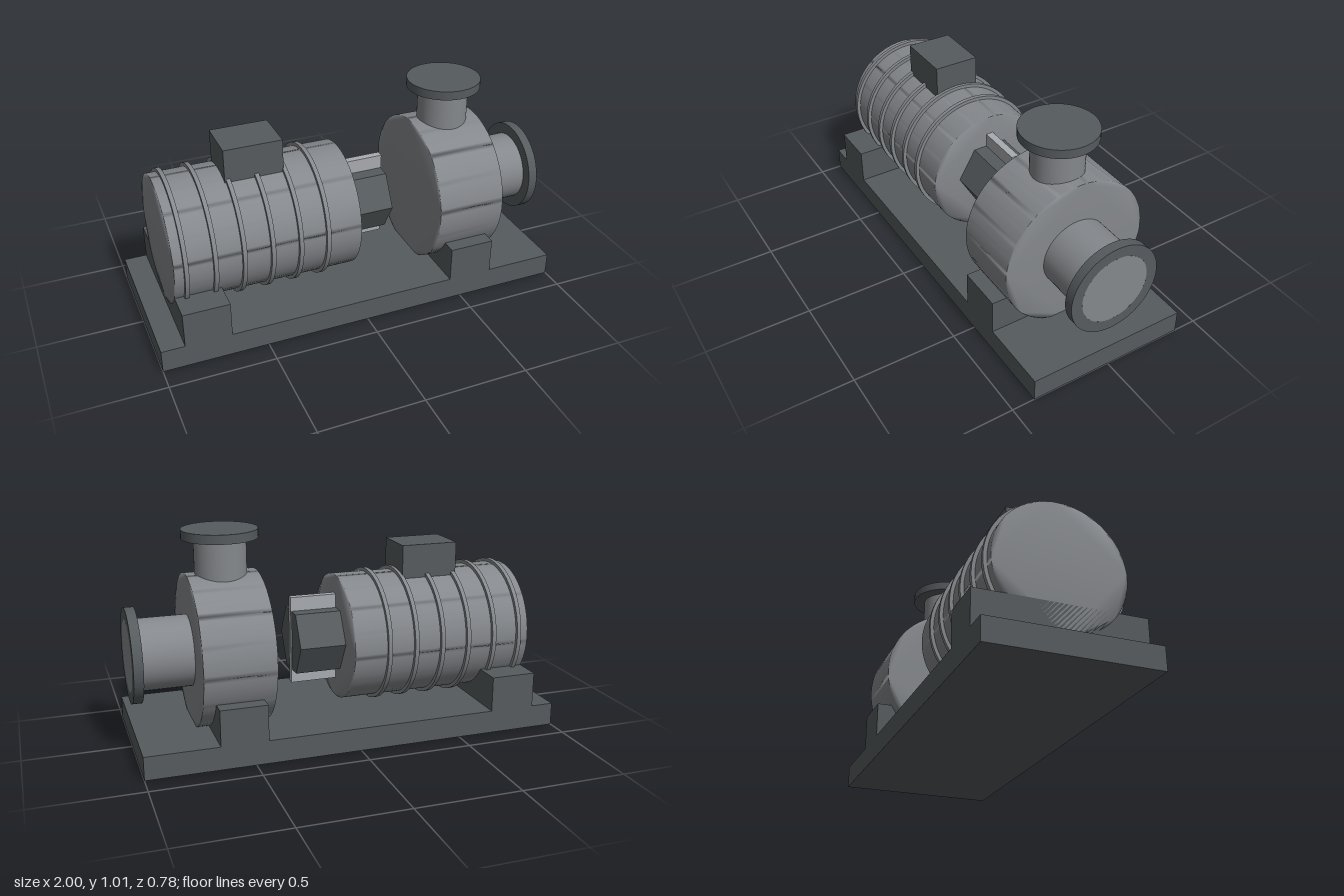
import * as THREE from 'three';
import { mergeVertices } from 'three/addons/utils/BufferGeometryUtils.js';

const dark = new THREE.MeshStandardMaterial({ color: 0x565b5e });
const mid = new THREE.MeshStandardMaterial({ color: 0x85888c });
const light = new THREE.MeshStandardMaterial({ color: 0xa8abb0 });

const AXIS = 0.447; // shaft height
const DISCHARGE_X = 0.553;

export function createModel() {
  const model = new THREE.Group();
  model.name = 'pumpSet';

  const add = (name, geometry, material) => {
    const mesh = new THREE.Mesh(geometry, material);
    mesh.name = name;
    model.add(mesh);
    return mesh;
  };

  // Box given by its limits on each axis
  const box = (name, x0, x1, y0, y1, halfZ, material = dark) =>
    add(name, new THREE.BoxGeometry(x1 - x0, y1 - y0, 2 * halfZ), material)
      .position.set((x0 + x1) / 2, (y0 + y1) / 2, 0);

  // Cylinder along the shaft
  const shaftCylinder = (name, x0, x1, r, material, sides = 48) => {
    const g = new THREE.CylinderGeometry(r, r, x1 - x0, sides).rotateZ(-Math.PI / 2);
    g.translate((x0 + x1) / 2, AXIS, 0);
    return add(name, g, material);
  };

  // Casing along the shaft with normals blended over its rims
  const casing = (name, x0, x1, r) => {
    const shape = new THREE.Shape().absarc(0, 0, r, 0, Math.PI * 2);
    let g = new THREE.ExtrudeGeometry(shape, { depth: x1 - x0, bevelEnabled: false, curveSegments: 64 });
    g.deleteAttribute('uv');
    g.deleteAttribute('normal');
    g = mergeVertices(g, 1e-4);
    g.computeVertexNormals();
    g.rotateY(Math.PI / 2).translate(x0, AXIS, 0);
    return add(name, g, mid);
  };

  // Upright cylinder on the discharge axis
  const upright = (name, y0, y1, r, material) =>
    add(name, new THREE.CylinderGeometry(r, r, y1 - y0, 48), material)
      .position.set(DISCHARGE_X, (y0 + y1) / 2, 0);

  // Base plate and supports
  box('basePlate', -1, 1, 0, 0.11, 0.39);
  box('motorSupport', -0.89, -0.67, 0.11, 0.28, 0.39);
  box('pumpSupport', 0.44, 0.66, 0.11, 0.28, 0.39);

  // Motor with cooling ribs and terminal box
  casing('motorBody', -0.89, 0, 0.305);
  for (let i = 0; i < 6; i++) {
    const x = -0.837 + i * 0.1338;
    shaftCylinder('motorRib', x - 0.01, x + 0.01, 0.322, mid, 64);
  }
  box('terminalBox', -0.585, -0.307, 0.73, 0.893, 0.11);

  // Hexagonal coupling with a flat key through it
  const hub = shaftCylinder('couplingHub', 0, 0.222, 0.168, dark, 6);
  hub.geometry = hub.geometry.toNonIndexed();
  hub.geometry.computeVertexNormals();
  box('couplingKey', 0, 0.226, 0.235, 0.66, 0.018, light);

  // Pump casing, suction and discharge
  casing('pumpCasing', 0.385, 0.718, 0.36);
  shaftCylinder('suctionPipe', 0.6, 1, 0.168, mid);

  // Ring flange around the open end of the suction pipe
  const ring = new THREE.Shape().absarc(0, 0, 0.222, 0, Math.PI * 2);
  ring.holes.push(new THREE.Path().absarc(0, 0, 0.168, 0, Math.PI * 2, true));
  add('suctionFlange', new THREE.ExtrudeGeometry(ring, { depth: 0.045, bevelEnabled: false, curveSegments: 48 })
    .rotateY(Math.PI / 2).translate(0.955, AXIS, 0), dark);

  upright('dischargePipe', 0.7, 0.98, 0.121, mid);
  upright('dischargeFlange', 0.968, 1.011, 0.177, dark);

  return model;
}
